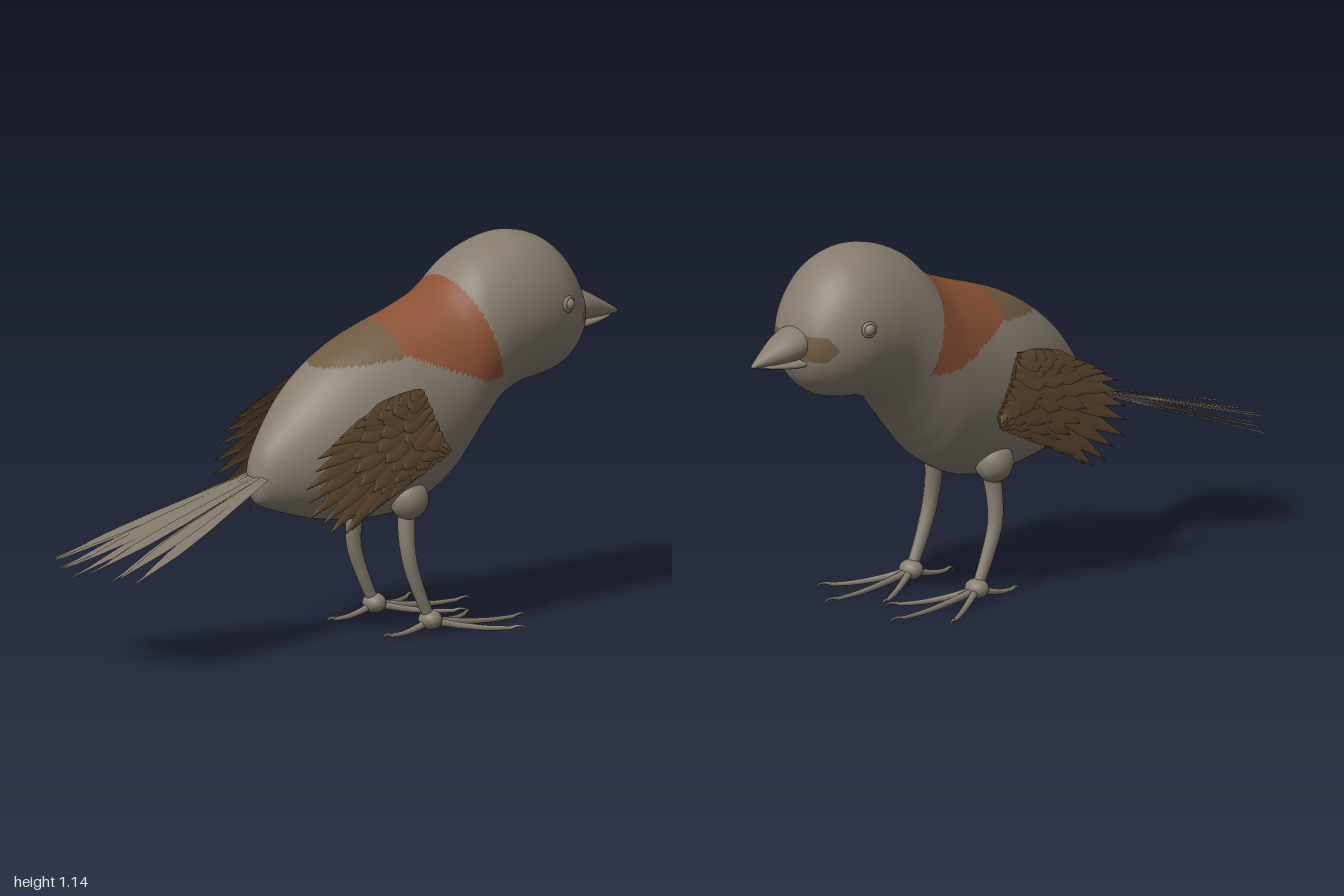
import * as THREE from 'three';

const V = (x, y, z) => new THREE.Vector3(x, y, z);

// Smooth skin through sections [x, top, bottom, halfWidth]; paint(centroid) picks a material index
function loft(sections, rings, sides, paint = () => 0) {
  const edge = new THREE.CatmullRomCurve3(sections.map(s => V(s[0], s[1], s[2])), false, 'catmullrom', 0.5);
  const wide = new THREE.CatmullRomCurve3(sections.map(s => V(s[0], s[3], 0)), false, 'catmullrom', 0.5);
  const pos = [], buckets = [[], [], []];
  for (let i = 0; i <= rings; i++) {
    const e = edge.getPoint(i / rings), w = Math.max(0.0005, wide.getPoint(i / rings).y);
    for (let j = 0; j < sides; j++) {
      const a = (j / sides) * Math.PI * 2;
      pos.push(e.x, (e.y + e.z) / 2 + ((e.y - e.z) / 2) * Math.cos(a), w * Math.sin(a));
    }
  }
  const face = (...ids) => {
    const c = V(0, 0, 0);
    ids.forEach(k => c.add(V(pos[k * 3], pos[k * 3 + 1], pos[k * 3 + 2])));
    buckets[paint(c.divideScalar(3))].push(...ids);
  };
  for (let i = 0; i < rings; i++) for (let j = 0; j < sides; j++) {
    const k = (j + 1) % sides, p = i * sides, q = p + sides;
    face(p + j, p + k, q + j);
    face(p + k, q + k, q + j);
  }
  const g = new THREE.BufferGeometry();
  g.setAttribute('position', new THREE.Float32BufferAttribute(pos, 3));
  g.setIndex(buckets.flat());
  let start = 0;
  buckets.forEach((b, m) => { if (b.length) g.addGroup(start, b.length, m); start += b.length; });
  g.computeVertexNormals();
  return g;
}

// Tube along points whose radius goes from r0 to r1
function taperTube(points, r0, r1, seg = 24, sides = 10) {
  const curve = new THREE.CatmullRomCurve3(points);
  const g = new THREE.TubeGeometry(curve, seg, 1, sides, false);
  const p = g.attributes.position, v = V(0, 0, 0);
  for (let i = 0; i < p.count; i++) {
    const t = Math.floor(i / (sides + 1)) / seg, c = curve.getPointAt(t);
    v.fromBufferAttribute(p, i).sub(c).multiplyScalar(r0 + (r1 - r0) * t).add(c);
    p.setXYZ(i, v.x, v.y, v.z);
  }
  return g;
}

// Slightly ridged feather blade from base to tip; point = where the tip starts to narrow
function feather(base, tip, up, width, point) {
  const g = new THREE.PlaneGeometry(1, 2, 12, 2), p = g.attributes.position;
  const dir = tip.clone().sub(base), len = dir.length();
  dir.normalize();
  const side = up.clone().cross(dir).normalize(), n = dir.clone().cross(side);
  for (let i = 0; i < p.count; i++) {
    const u = p.getX(i) + 0.5, v = p.getY(i);
    const grow = 0.3 + 0.7 * Math.min(1, u / 0.5);
    const shrink = u > point ? Math.max(0.02, (1 - u) / (1 - point)) : 1;
    const q = base.clone().addScaledVector(dir, u * len)
      .addScaledVector(side, v * width * 0.5 * grow * shrink)
      .addScaledVector(n, 0.004 * (1 - Math.abs(v)));
    p.setXYZ(i, q.x, q.y, q.z);
  }
  g.computeVertexNormals();
  return g;
}

export function createModel() {
  const bird = new THREE.Group();
  bird.name = 'bird';
  const mat = (name, color, side = THREE.FrontSide) => {
    const m = new THREE.MeshStandardMaterial({ color, side });
    m.name = name;
    return m;
  };
  const grey = mat('greyPlumage', 0x867c6e);
  const rust = mat('rustMantle', 0x8b5134);
  const brown = mat('brownMarking', 0x6f5a40);
  const wingBrown = mat('wingBrown', 0x614a30, THREE.DoubleSide);
  const tailGrey = mat('tailGrey', 0x80776a, THREE.DoubleSide);
  const add = (parent, name, geo, m) => {
    const mesh = new THREE.Mesh(geo, m);
    mesh.name = name;
    parent.add(mesh);
    return mesh;
  };

  // Body and head with mantle, lower back and face markings
  const marking = c => {
    const z = Math.abs(c.z);
    if (c.x > 0.11 && c.x < 0.355 + 0.33 * (1.03 - c.y) && c.y > Math.max(0.75, 0.85 - 0.4 * (c.x - 0.12))) return 1;
    if (c.x > -0.11 && c.x <= 0.11 && c.y > 0.833 + 0.1 * c.x) return 2;
    if (c.x > 0.7 && z < 0.137) {
      const half = Math.min(0.038, 0.005 + (0.137 - z) * 1.3);
      if (Math.abs(c.y - 0.88) < half) return 2;
    }
    return 0;
  };
  add(bird, 'body', loft([
    [-0.335, 0.51, 0.49, 0.003], [-0.328, 0.55, 0.455, 0.03], [-0.3, 0.62, 0.425, 0.065],
    [-0.2, 0.745, 0.388, 0.13], [-0.1, 0.83, 0.362, 0.175], [0, 0.888, 0.349, 0.203],
    [0.1, 0.927, 0.346, 0.22], [0.2, 0.96, 0.364, 0.222], [0.3, 1.0, 0.42, 0.218],
    [0.36, 1.04, 0.483, 0.213], [0.42, 1.092, 0.553, 0.205], [0.5, 1.128, 0.638, 0.198],
    [0.59, 1.142, 0.682, 0.194], [0.68, 1.122, 0.697, 0.18], [0.75, 1.073, 0.718, 0.15],
    [0.8, 1.005, 0.757, 0.112], [0.825, 0.95, 0.795, 0.077], [0.837, 0.905, 0.83, 0.037],
    [0.84, 0.87, 0.864, 0.003],
  ], 190, 112, marking), [grey, rust, brown]);

  // Bill
  add(bird, 'upperBill', loft([
    [0.79, 0.93, 0.85, 0.045], [0.83, 0.938, 0.838, 0.064], [0.88, 0.92, 0.836, 0.055],
    [0.94, 0.886, 0.838, 0.03], [0.985, 0.858, 0.84, 0.01], [1.0, 0.846, 0.844, 0.001],
  ], 30, 28), grey);
  add(bird, 'lowerBill', loft([
    [0.79, 0.845, 0.825, 0.045], [0.83, 0.848, 0.816, 0.06], [0.88, 0.846, 0.819, 0.048],
    [0.94, 0.844, 0.829, 0.025], [0.98, 0.842, 0.839, 0.001],
  ], 24, 24), grey);

  // Tail fan
  const tail = new THREE.Group();
  tail.name = 'tail';
  bird.add(tail);
  for (let i = 0; i < 12; i++) {
    const f = (i / 11) * 2 - 1, a = Math.abs(f);
    add(tail, 'tailFeather', feather(
      V(-0.27, 0.535 - 0.003 * (i % 2), f * 0.035),
      V(-1 + 0.1 * a * a + 0.03 * (i % 2) * (a < 0.9), 0.305 + 0.012 * (i % 3) * (a < 0.9), f * 0.2),
      V(0, 1, 0.15), 0.042, 0.72), tailGrey);
  }

  // Wing feather tips, from the upper edge round to the lower edge
  const fan = new THREE.CatmullRomCurve3([
    [-0.1, 0.7], [-0.26, 0.61], [-0.3, 0.53], [-0.31, 0.44], [-0.25, 0.385], [-0.18, 0.35],
    [-0.1, 0.395], [0, 0.445], [0.08, 0.49], [0.16, 0.535]].map(p => V(p[0], p[1], 0)));
  // Rows: feather count, reach towards the fan, offset from the body, width, narrowing point
  const rows = [[20, 1, 0.215, 0.05, 0.72], [14, 0.64, 0.221, 0.05, 0.82], [12, 0.44, 0.227, 0.048, 0.85], [10, 0.25, 0.232, 0.046, 0.85]];

  for (const s of [1, -1]) {
    const side = s > 0 ? 'right' : 'left';

    // Wing
    const wing = new THREE.Group();
    wing.name = side + 'Wing';
    bird.add(wing);
    rows.forEach(([count, reach, z, width, point]) => {
      for (let i = 0; i < count; i++) {
        const t = i / (count - 1);
        const base = V(0.125 + 0.08 * t, 0.755 - 0.165 * t, 0);
        const tip = base.clone().lerp(fan.getPointAt(t), reach * (i % 2 ? 0.97 : 1));
        base.z = s * (z + 0.004 * (i % 2));
        tip.z = s * (z + 0.01 + 0.012 * reach * (1 - t) + 0.004 * (i % 2));
        add(wing, 'wingFeather', feather(base, tip, V(0.1, 0.25, s), width, point), wingBrown);
      }
    });

    // Eye and eyelid ring
    const eye = add(bird, side + 'Eye', new THREE.SphereGeometry(0.019, 20, 14), grey);
    eye.position.set(0.69, 0.937, s * 0.178);
    const lid = add(bird, side + 'Eyelid', new THREE.TorusGeometry(0.019, 0.006, 10, 24), grey);
    lid.position.set(0.69, 0.937, s * 0.18);
    lid.rotation.y = s * 0.3;

    // Thigh, shank and ankle
    const leg = new THREE.Group();
    leg.name = side + 'Leg';
    bird.add(leg);
    const thigh = add(leg, 'thigh', new THREE.SphereGeometry(0.06, 24, 18), grey);
    thigh.position.set(0.14, 0.415, s * 0.135);
    thigh.scale.set(1, 1.05, 0.95);
    add(leg, 'shank', taperTube([
      V(0.148, 0.4, s * 0.122), V(0.136, 0.33, s * 0.128), V(0.14, 0.23, s * 0.139),
      V(0.17, 0.14, s * 0.14), V(0.213, 0.045, s * 0.14)], 0.029, 0.017), grey);
    const ankle = add(leg, 'ankle', new THREE.SphereGeometry(0.034, 20, 14), grey);
    ankle.position.set(0.215, 0.042, s * 0.14);
    ankle.scale.set(1, 0.88, 1.15);

    // Three front toes and one hind toe, each with a hooked claw
    for (const [x, z] of [[0.57, 0.14], [0.46, 0.285], [0.46, 0.005], [0.045, 0.14]]) {
      const at = (t, y) => V(0.215 + (x - 0.215) * t, y, s * (0.14 + (z - 0.14) * t));
      add(leg, 'toe', taperTube([at(0.05, 0.036), at(0.3, 0.022), at(0.6, 0.012), at(0.85, 0.011)], 0.012, 0.006, 16, 8), grey);
      add(leg, 'claw', taperTube([at(0.83, 0.011), at(0.92, 0.017), at(0.98, 0.013), at(1, 0.003)], 0.006, 0.0015, 10, 8), grey);
    }
  }
  return bird;
}
